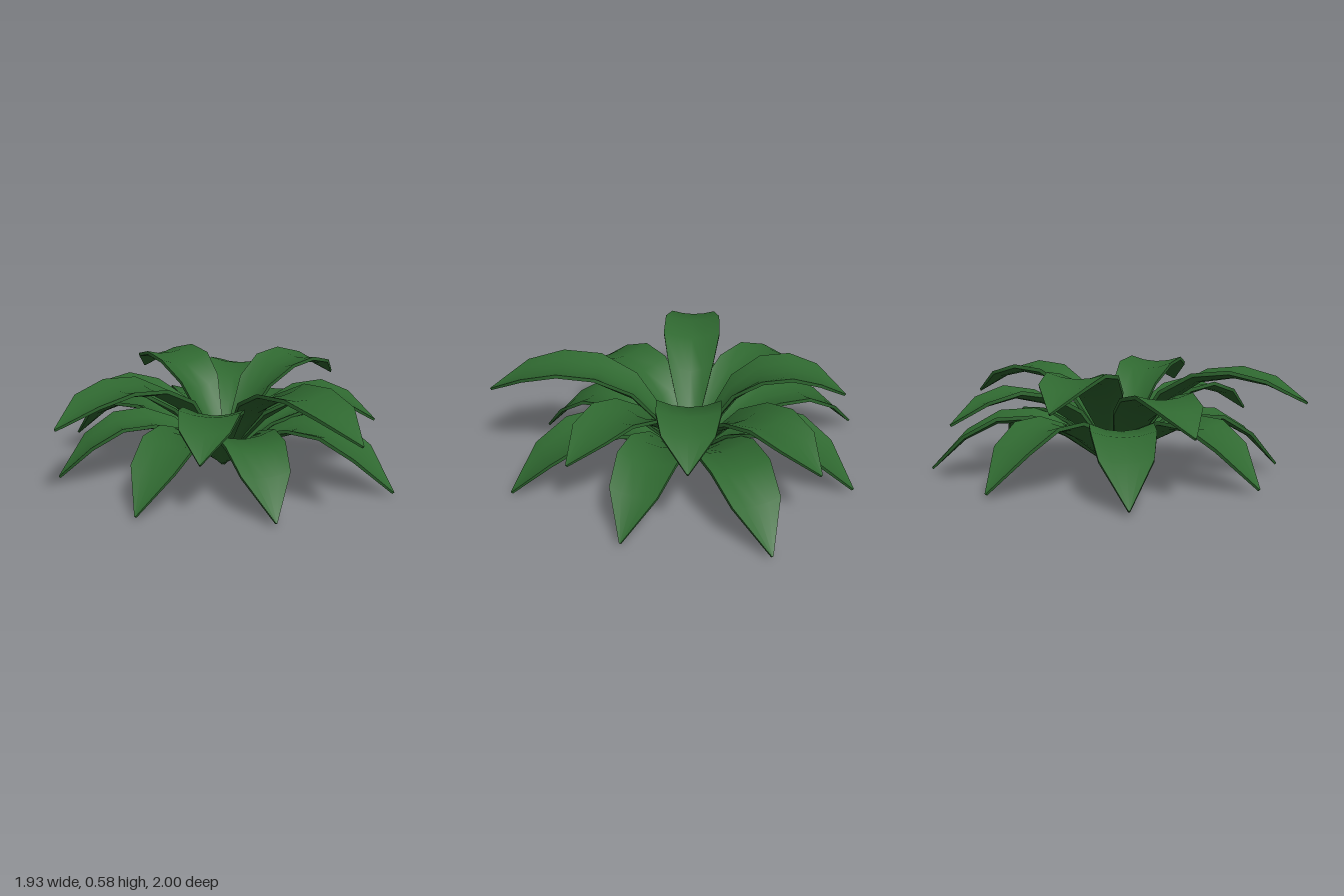
import * as THREE from 'three';

// Stations along a leaf, as a fraction of its reach
const ALONG = [0, 0.13, 0.27, 0.45, 0.64, 0.82, 1];
const HALF_WIDTH = [0.012, 0.07, 0.127, 0.16, 0.157, 0.127, 0.004];
const EDGE_LIFT = [0, 0.04, 0.06, 0.04, 0.03, 0.02, 0];
const THICKNESS = [0.004, 0.015, 0.02, 0.02, 0.02, 0.018, 0.012];
const ACROSS = [-1, -0.5, 0, 0.5, 1];
const CENTRE = new THREE.Vector3(0.06, 0, -0.07);

// Each tier: midrib heights, and the leaf tips as [x, z]
const TIERS = [
  {
    name: 'upperLeaf',
    rib: [0.01, 0.22, 0.4, 0.52, 0.55, 0.515, 0.42],
    tips: [[-0.97, -0.05], [0.89, -0.1], [0.05, -0.9], [0.09, 1]],
  },
  {
    name: 'middleLeaf',
    rib: [0.01, 0.16, 0.3, 0.41, 0.45, 0.41, 0.31],
    tips: [[-0.58, -0.68], [0.69, -0.73], [0.67, 0.5], [-0.5, 0.52]],
  },
  {
    name: 'lowerLeaf',
    rib: [0.008, 0.11, 0.21, 0.29, 0.29, 0.2, 0.03],
    tips: [[-0.38, -1], [0.37, -0.94], [0.96, -0.5], [0.9, 0.22],
      [0.5, 0.83], [-0.23, 0.77], [-0.74, 0.31], [-0.81, -0.38]],
  },
];

// A grooved, arching leaf of even thickness, reaching along +x
function leafGeometry(reach, rib) {
  const pos = [], index = [];
  const n = ALONG.length, m = ACROSS.length;
  const top = [], under = [];
  for (let i = 0; i < n; i++) {
    const a = Math.max(i - 1, 0), b = Math.min(i + 1, n - 1);
    const slope = Math.atan2(rib[b] - rib[a], (ALONG[b] - ALONG[a]) * reach);
    for (const t of ACROSS) {
      const x = ALONG[i] * reach, y = rib[i] + EDGE_LIFT[i] * t * t, z = HALF_WIDTH[i] * t;
      top.push([x, y, z]);
      under.push([x + Math.sin(slope) * THICKNESS[i], y - Math.cos(slope) * THICKNESS[i], z]);
    }
  }
  // Upper and lower faces
  [top, under].forEach((grid, side) => {
    const start = pos.length / 3;
    grid.forEach((p) => pos.push(...p));
    for (let i = 0; i < n - 1; i++) {
      for (let j = 0; j < m - 1; j++) {
        const a = start + i * m + j, b = a + 1, c = a + m, d = c + 1;
        if (side === 0) index.push(a, b, c, b, d, c);
        else index.push(a, c, b, b, c, d);
      }
    }
  });
  // Rim around the whole outline
  const path = [];
  for (let i = 0; i < n; i++) path.push(i * m);
  for (let j = 1; j < m; j++) path.push((n - 1) * m + j);
  for (let i = n - 2; i >= 0; i--) path.push(i * m + m - 1);
  for (let j = m - 2; j >= 0; j--) path.push(j);
  const start = pos.length / 3;
  path.forEach((k) => pos.push(...top[k], ...under[k]));
  for (let k = 0; k < path.length - 1; k++) {
    const a = start + 2 * k;
    index.push(a, a + 2, a + 1, a + 2, a + 3, a + 1);
  }
  const geometry = new THREE.BufferGeometry();
  geometry.setAttribute('position', new THREE.Float32BufferAttribute(pos, 3));
  geometry.setIndex(index);
  geometry.computeVertexNormals();
  return geometry;
}

export function createModel() {
  const plant = new THREE.Group();
  plant.name = 'leafyPlant';
  const leafGreen = new THREE.MeshStandardMaterial({ color: 0x2f6830 });
  leafGreen.name = 'leafGreen';

  // Three rosettes of leaves springing from one point
  for (const { name, rib, tips } of TIERS) {
    for (const [x, z] of tips) {
      const dx = x - CENTRE.x, dz = z - CENTRE.z;
      const leaf = new THREE.Mesh(leafGeometry(Math.hypot(dx, dz), rib), leafGreen);
      leaf.name = name;
      leaf.position.copy(CENTRE);
      leaf.rotation.y = Math.atan2(-dz, dx);
      plant.add(leaf);
    }
  }
  return plant;
}
